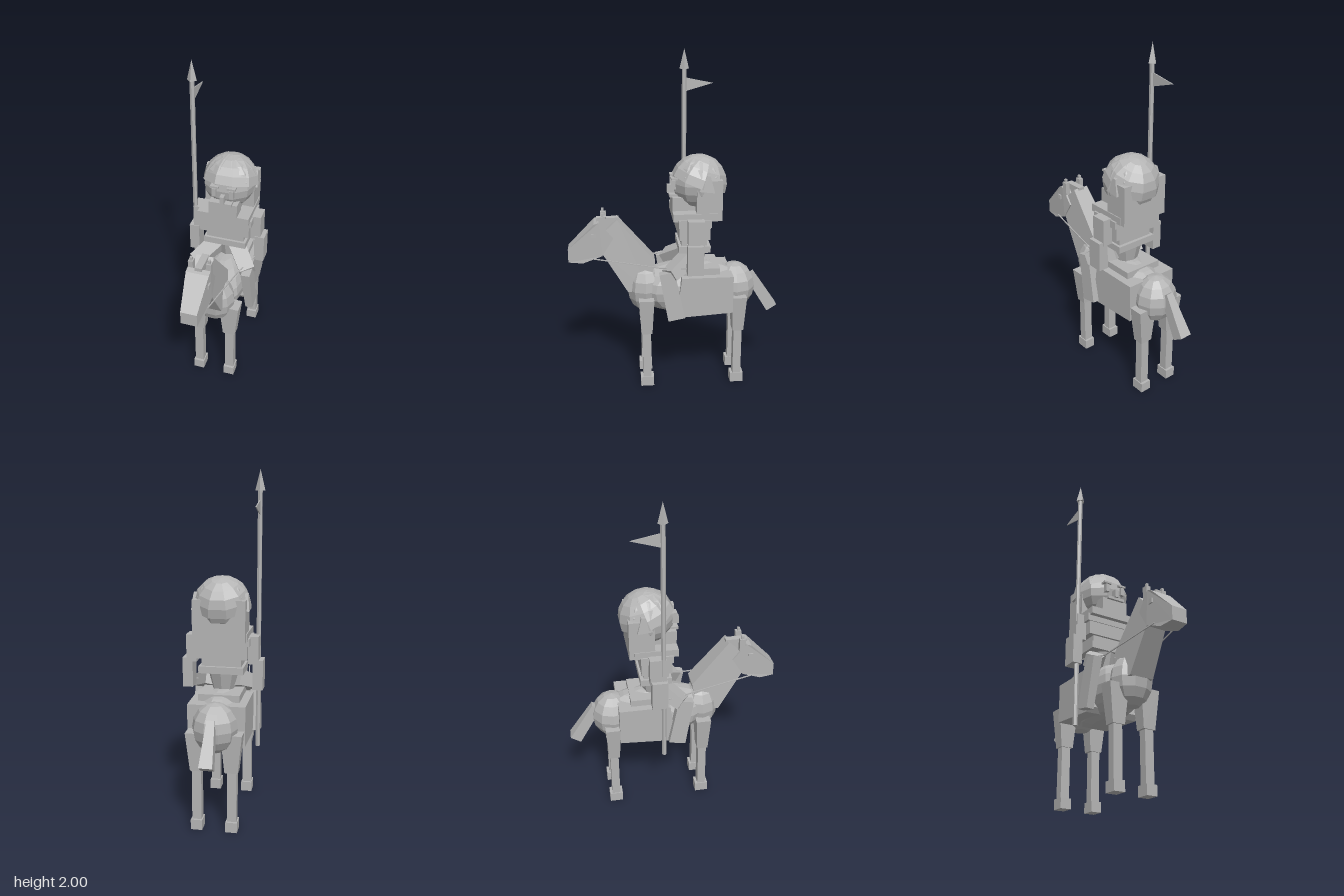
import * as THREE from 'three';

export function createModel() {
  const root = new THREE.Group();
  const grey = new THREE.MeshStandardMaterial({ color: 0xb4b4b4 });
  grey.name = 'plain grey';
  const sheet = grey.clone();
  sheet.side = THREE.DoubleSide;
  const V = (x, y, z) => new THREE.Vector3(x, y, z);

  // Faceted mesh: every face gets its own normal
  function add(name, geo, x = 0, y = 0, z = 0, mat = grey) {
    const g = geo.index ? geo.toNonIndexed() : geo;
    g.computeVertexNormals();
    const m = new THREE.Mesh(g, mat);
    m.name = name;
    m.position.set(x, y, z);
    root.add(m);
    return m;
  }
  // Box given by its extents
  const box = (name, x0, x1, y0, y1, z0, z1) =>
    add(name, new THREE.BoxGeometry(x1 - x0, y1 - y0, z1 - z0), (x0 + x1) / 2, (y0 + y1) / 2, (z0 + z1) / 2);
  // Tapered block from point a (size wa x da) to point b (size wb x db)
  function limb(name, a, b, wa, da, wb, db) {
    const g = new THREE.BoxGeometry(1, a.distanceTo(b), 1);
    const p = g.attributes.position;
    for (let i = 0; i < p.count; i++) {
      const end = p.getY(i) > 0;
      p.setX(i, p.getX(i) * (end ? wb : wa));
      p.setZ(i, p.getZ(i) * (end ? db : da));
    }
    const y = b.clone().sub(a).normalize();
    const z = V(1, 0, 0).cross(y).normalize();
    const x = y.clone().cross(z);
    g.applyMatrix4(new THREE.Matrix4().makeBasis(x, y, z));
    const c = a.clone().add(b).multiplyScalar(0.5);
    return add(name, g, c.x, c.y, c.z);
  }
  // Side profile of [z, y] points, with a half width that depends on z and y
  function profile(name, pts, halfWidth) {
    const s = new THREE.Shape(pts.map(q => new THREE.Vector2(q[0], q[1])));
    const g = new THREE.ExtrudeGeometry(s, { depth: 2, bevelEnabled: false });
    g.translate(0, 0, -1).rotateY(-Math.PI / 2);
    const p = g.attributes.position;
    for (let i = 0; i < p.count; i++) p.setX(i, p.getX(i) * halfWidth(p.getZ(i), p.getY(i)));
    return add(name, g);
  }
  const ball = (name, y, z, rx, ry, rz, w = 10, h = 8) =>
    add(name, new THREE.SphereGeometry(1, w, h).scale(rx, ry, rz), 0, y, z);

  // Horse body
  ball('horseBarrel', 0.61, -0.09, 0.155, 0.165, 0.36, 10, 10);
  ball('horseChest', 0.615, 0.18, 0.125, 0.155, 0.11);
  ball('horseRump', 0.605, -0.365, 0.13, 0.145, 0.125);
  profile('horseNeck', [[0.34, 1.055], [0.12, 0.795], [0.16, 0.6], [0.285, 0.61], [0.44, 0.87], [0.42, 0.98]],
    (z, y) => 0.05 + 0.025 * (1.055 - y) / 0.45);
  profile('horseHead', [[0.445, 1.045], [0.365, 0.945], [0.43, 0.84], [0.545, 0.795], [0.63, 0.8], [0.63, 0.88], [0.475, 1.035]],
    z => z > 0.475 ? 0.066 - 0.019 * (z - 0.475) / 0.155 : 0.066);
  box('forelock', -0.02, 0.02, 1.0, 1.06, 0.33, 0.46);
  limb('horseTail', V(0, 0.67, -0.46), V(0, 0.452, -0.6), 0.045, 0.06, 0.075, 0.072);

  // Saddle and blanket
  profile('saddleBlanket', [[-0.03, 0.72], [-0.335, 0.72], [-0.335, 0.49], [-0.02, 0.47], [0.0, 0.5]], () => 0.165);
  box('saddle', -0.12, 0.12, 0.71, 0.76, -0.26, -0.03);

  for (const s of [1, -1]) {
    // Horse legs
    for (const z of [0.178, -0.375]) {
      limb('horseThigh', V(s * 0.098, 0.355, z), V(s * 0.1, 0.58, z), 0.075, 0.065, 0.12, 0.09);
      box('horseShin', s * 0.1 - 0.027, s * 0.1 + 0.027, 0.05, 0.37, z - 0.025, z + 0.025);
      box('hoof', s * 0.1 - 0.033, s * 0.1 + 0.033, 0, 0.06, z - 0.04, z + 0.04);
    }
    // Horse ears, eyes and reins
    box('horseEar', s * 0.052 - 0.014, s * 0.052 + 0.014, 1.0, 1.08, 0.403, 0.438);
    box('horseEarTip', s * 0.052 - 0.007, s * 0.052 + 0.007, 1.07, 1.1, 0.415, 0.43);
    box('horseEye', s * 0.067 - 0.004, s * 0.067 + 0.004, 0.953, 0.98, 0.46, 0.49);
    limb('rein', V(s * 0.066, 0.828, 0.5), V(s * 0.12, 0.775, 0.1), 0.006, 0.006, 0.006, 0.006);
    limb('reinEnd', V(s * 0.12, 0.775, 0.1), V(s * 0.19, 0.79, -0.08), 0.006, 0.006, 0.006, 0.006);

    // Rider legs
    limb('riderThigh', V(s * 0.06, 0.82, -0.09), V(s * 0.165, 0.745, 0.045), 0.1, 0.1, 0.095, 0.07);
    limb('riderShin', V(s * 0.165, 0.765, 0.06), V(s * 0.182, 0.475, 0.005), 0.055, 0.09, 0.045, 0.1);

    // Rider arms
    box('upperArm', s * 0.18 - 0.03, s * 0.18 + 0.03, 0.92, 1.08, -0.155, -0.06);
    box('forearm', s * 0.205 - 0.03, s * 0.205 + 0.03, 0.765, 0.94, -0.147, -0.055);

    // Face details
    box('eye', s * 0.052 - 0.012, s * 0.052 + 0.012, 1.235, 1.285, -0.03, 0.025);
    box('eyebrow', s * 0.05 - 0.025, s * 0.05 + 0.025, 1.29, 1.302, -0.03, 0.025);
    limb('sideHair', V(s * 0.14, 1.24, -0.17), V(s * 0.145, 1.33, -0.18), 0.05, 0.09, 0.02, 0.02);
  }

  // Rider torso
  add('pelvis', new THREE.CylinderGeometry(0.09, 0.06, 0.12, 8), 0, 0.81, -0.11);
  box('tunicHem', -0.13, 0.13, 0.865, 0.905, -0.2, -0.015);
  box('waist', -0.115, 0.115, 0.9, 0.97, -0.18, -0.03);
  box('chest', -0.15, 0.15, 0.95, 1.04, -0.195, -0.015);
  box('shoulders', -0.165, 0.165, 1.03, 1.075, -0.2, -0.01);
  box('collar', -0.155, 0.155, 1.065, 1.11, -0.235, 0.02);
  box('neck', -0.08, 0.08, 1.1, 1.19, -0.18, -0.03);

  // Rider head
  ball('head', 1.265, -0.14, 0.16, 0.158, 0.16, 10, 10);
  box('chin', -0.085, 0.085, 1.1, 1.19, -0.07, 0.02);
  box('nose', -0.012, 0.012, 1.2, 1.25, -0.02, 0.045);
  box('moustache', -0.055, 0.055, 1.185, 1.202, -0.03, 0.035);
  box('hairBlock', -0.15, 0.15, 1.065, 1.3, -0.262, -0.115);
  const cap = add('hairCap', new THREE.SphereGeometry(0.167, 10, 5, 0, Math.PI * 2, 0, Math.PI / 2), 0, 1.257, -0.14, sheet);
  cap.rotation.x = -0.35;

  // Spear with pennant
  add('spearShaft', new THREE.CylinderGeometry(0.014, 0.014, 1.49, 6), -0.2, 1.145, -0.075);
  add('spearHead', new THREE.ConeGeometry(0.028, 0.115, 4), -0.2, 1.9425, -0.075);
  profile('pennant', [[-0.08, 1.835], [-0.245, 1.802], [-0.08, 1.755]], () => 1)
    .scale.x = 0.003;
  root.getObjectByName('pennant').position.x = -0.2;

  return root;
}
